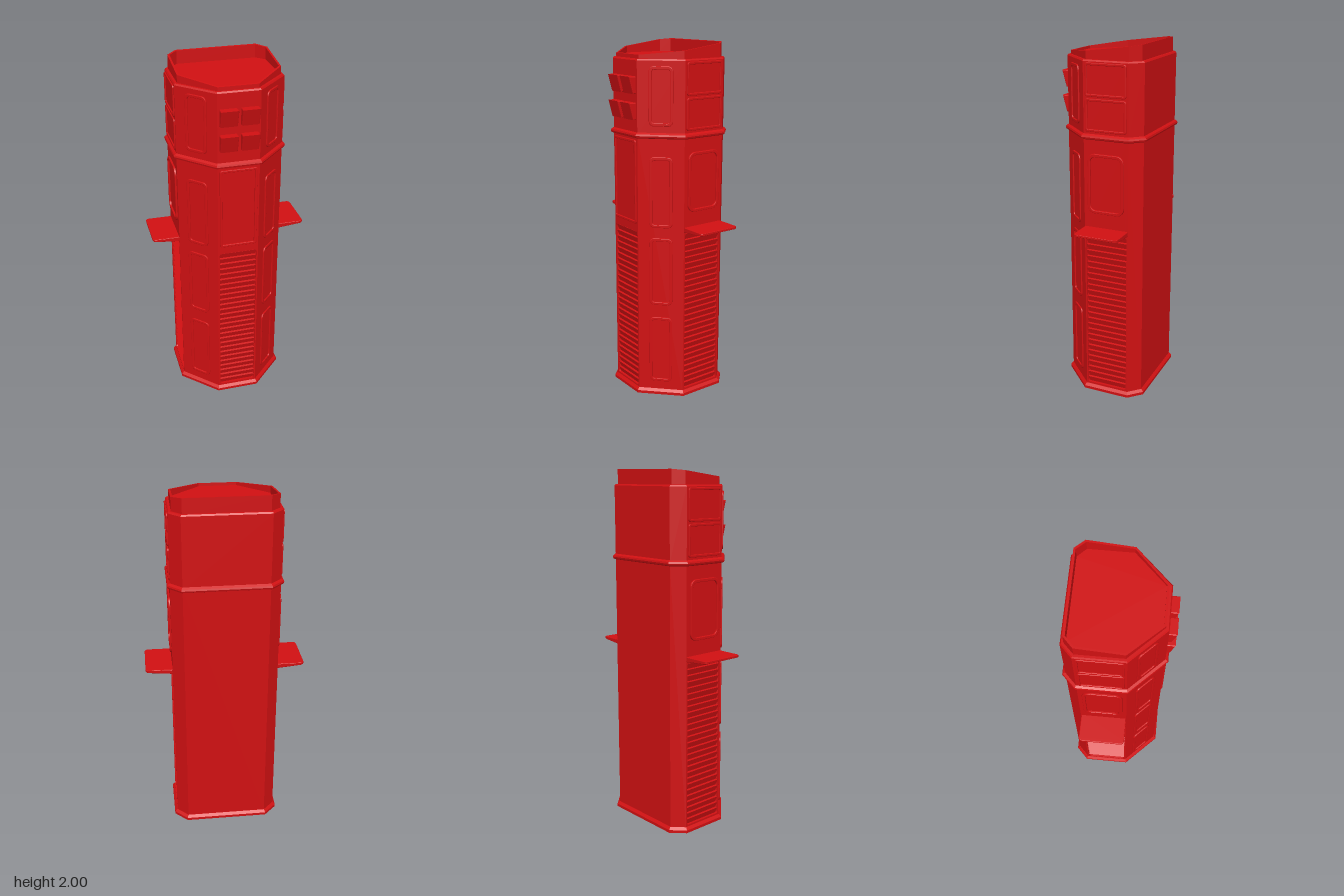
import * as THREE from 'three';

const material = new THREE.MeshStandardMaterial({ color: 0xd01012, side: THREE.DoubleSide });

// Plan outline of the tower (x, z), running front -> left -> back -> right
const half = [[0.115, 0.238], [0.295, 0.057], [0.295, -0.2], [0.232, -0.262]];
const plan = [...half, ...half.map(([x, z]) => [-x, z]).reverse()];
const N = plan.length;

// Side i of the plan: middle, length and outward normal
function side(i) {
  const [ax, az] = plan[i], [bx, bz] = plan[(i + 1) % N];
  const length = Math.hypot(bx - ax, bz - az);
  return { x: (ax + bx) / 2, z: (az + bz) / 2, length, nx: -(bz - az) / length, nz: (bx - ax) / length };
}

// Plan outline moved outward by d
function offsetPlan(d) {
  return plan.map(([x, z], i) => {
    const p = side((i + N - 1) % N), q = side(i);
    const k = d / (1 + p.nx * q.nx + p.nz * q.nz);
    return [x + (p.nx + q.nx) * k, z + (p.nz + q.nz) * k];
  });
}

// Closed solid through rings of [offset, height or height(z)]
function loft(rings) {
  const loops = rings.map(([d, y]) =>
    offsetPlan(d).map(([x, z]) => [x, typeof y === 'function' ? y(z) : y, z]));
  const pos = [];
  const tri = (a, b, c) => pos.push(...a, ...b, ...c);
  for (let r = 0; r < loops.length - 1; r++) {
    const a = loops[r], b = loops[r + 1];
    for (let i = 0; i < N; i++) {
      const j = (i + 1) % N;
      tri(a[i], a[j], b[j]);
      tri(a[i], b[j], b[i]);
    }
  }
  const low = loops[0], top = loops[loops.length - 1];
  for (let i = 1; i < N - 1; i++) {
    tri(low[0], low[i + 1], low[i]);
    tri(top[0], top[i], top[i + 1]);
  }
  const g = new THREE.BufferGeometry();
  g.setAttribute('position', new THREE.Float32BufferAttribute(pos, 3));
  g.computeVertexNormals();
  return g;
}

// Rounded rectangle outline centred on x = 0
function roundRect(w, y0, y1, r, Type = THREE.Shape) {
  const s = new Type(), h = w / 2;
  s.moveTo(-h + r, y0);
  s.lineTo(h - r, y0);
  s.absarc(h - r, y0 + r, r, -Math.PI / 2, 0);
  s.absarc(h - r, y1 - r, r, 0, Math.PI / 2);
  s.absarc(-h + r, y1 - r, r, Math.PI / 2, Math.PI);
  s.absarc(-h + r, y0 + r, r, Math.PI, Math.PI * 1.5);
  return s;
}

function add(parent, name, geometry) {
  const mesh = new THREE.Mesh(geometry, material);
  mesh.name = name;
  parent.add(mesh);
  return mesh;
}

// Raised rounded border around a flush panel
function frame(parent, name, w, y0, y1, r, t, h) {
  const b = 0.003;
  const s = roundRect(w - 2 * b, y0 + b, y1 - b, r);
  s.holes.push(roundRect(w - 2 * t, y0 + t, y1 - t, Math.max(r - t * 0.6, 0.004), THREE.Path));
  const g = new THREE.ExtrudeGeometry(s, {
    depth: h - b, bevelThickness: b, bevelSize: b, bevelSegments: 2, curveSegments: 6,
  });
  add(parent, name, g);
}

// Extrudes a (depth, height) profile sideways over width w
function sideways(shape, w, bevel = 0) {
  const g = new THREE.ExtrudeGeometry(shape, {
    depth: w - 2 * bevel, bevelEnabled: bevel > 0, bevelThickness: bevel, bevelSize: bevel, bevelSegments: 2,
  });
  return g.translate(0, 0, bevel - w / 2).rotateY(-Math.PI / 2);
}

// Sawtooth stack of slats set into a wall opening
function louvre(parent, w, y0, y1, count) {
  const s = new THREE.Shape(), step = (y1 - y0) / count;
  s.moveTo(-0.022, y0);
  for (let i = 0; i < count; i++) {
    s.lineTo(-0.015, y0 + i * step);
    s.lineTo(-0.004, y0 + (i + 0.9) * step);
  }
  s.lineTo(-0.015, y1);
  s.lineTo(-0.022, y1);
  add(parent, 'louvreSlats', sideways(s, w));
}

export function createModel() {
  const model = new THREE.Group();
  model.name = 'tower';

  // Stacked body rings
  add(model, 'core', loft([[-0.02, 0.005], [-0.02, 1.52]]));
  add(model, 'basePlinth', loft([[0.015, 0], [0.015, 0.016], [0.002, 0.03], [-0.03, 0.03]]));
  add(model, 'upperBody', loft([[0, 1.52], [0, 1.912], [-0.006, 1.92]]));
  add(model, 'bandMoulding', loft([[0, 1.503], [0.013, 1.509], [0.016, 1.518], [0.013, 1.527], [0, 1.535]]));

  // Sloping crown with a sunken roof
  const slope = z => 1.94 + (0.22 - z) * 0.129;
  add(model, 'crown', loft([[-0.018, 1.915], [-0.018, slope], [-0.029, slope], [-0.029, 1.926]]));

  // Wall plates and their fittings, one group per side
  for (let i = 0; i < N; i++) {
    const f = side(i);
    const wall = new THREE.Group();
    wall.position.set(f.x, 0, f.z);
    wall.rotation.y = Math.atan2(f.nx, f.nz);
    model.add(wall);

    const isFront = f.nz > 0.99, isSide = Math.abs(f.nx) > 0.99;
    const isFrontCorner = f.nz > 0.5 && !isFront;
    wall.name = isFront ? 'frontWall' : isSide ? 'sideWall' : isFrontCorner ? 'frontCornerWall' : 'backWall';

    const plate = roundRect(f.length, 0.01, 1.52, 0.0001);
    const louvreWidth = isFront ? 0.212 : 0.24;
    if (isFront || isSide) {
      plate.holes.push(roundRect(louvreWidth, 0.04, 0.98, 0.012, THREE.Path));
      louvre(wall, louvreWidth, 0.04, 0.98, 27);
    }
    const g = new THREE.ExtrudeGeometry(plate, { depth: 0.02, bevelEnabled: false });
    add(wall, 'wallPlate', g.translate(0, 0, -0.02));

    if (isFrontCorner) {
      for (const [y0, y1] of [[0.08, 0.48], [0.555, 0.95], [1.01, 1.405], [1.57, 1.885]])
        frame(wall, 'cornerPanelFrame', 0.13, y0, y1, 0.025, 0.014, 0.007);
    }

    if (isFront) {
      frame(wall, 'frontPanelFrame', 0.208, 1.025, 1.492, 0.01, 0.012, 0.008);
      // Four wedge hoods, deeper at the top
      for (const x of [-0.057, 0.057]) for (const y of [1.6, 1.738]) {
        const s = new THREE.Shape();
        s.moveTo(-0.01, 0.005);
        s.lineTo(0.013, 0.005);
        s.lineTo(0.036, 0.087);
        s.lineTo(-0.01, 0.087);
        add(wall, 'hood', sideways(s, 0.094, 0.005)).position.set(x, y, 0);
      }
    }

    if (isSide) {
      frame(wall, 'sideWindowFrame', 0.212, 1.098, 1.43, 0.04, 0.014, 0.01);
      frame(wall, 'upperPanelFrame', 0.236, 1.547, 1.722, 0.012, 0.011, 0.007);
      frame(wall, 'upperPanelFrame', 0.236, 1.732, 1.907, 0.012, 0.011, 0.007);

      // Side shelf, thinning toward its outer edge
      const w = 0.254, reach = 0.15, r = 0.022, b = 0.004;
      const s = new THREE.Shape();
      s.moveTo(-w / 2 + b, 0.01);
      s.lineTo(-w / 2 + b, -reach + r);
      s.quadraticCurveTo(-w / 2 + b, -reach + b, -w / 2 + r, -reach + b);
      s.lineTo(w / 2 - r, -reach + b);
      s.quadraticCurveTo(w / 2 - b, -reach + b, w / 2 - b, -reach + r);
      s.lineTo(w / 2 - b, 0.01);
      const shelf = new THREE.ExtrudeGeometry(s, {
        depth: 0.022, bevelThickness: b, bevelSize: b, bevelSegments: 2, curveSegments: 6,
      }).rotateX(-Math.PI / 2);
      const p = shelf.attributes.position;
      const top = 0.026;
      for (let k = 0; k < p.count; k++) {
        const t = THREE.MathUtils.clamp(p.getZ(k) / reach, 0, 1);
        p.setY(k, top - (top - p.getY(k)) * (1 - 0.55 * t));
      }
      shelf.computeVertexNormals();
      add(wall, 'shelf', shelf).position.y = 1.016 - top;
    }
  }
  return model;
}
